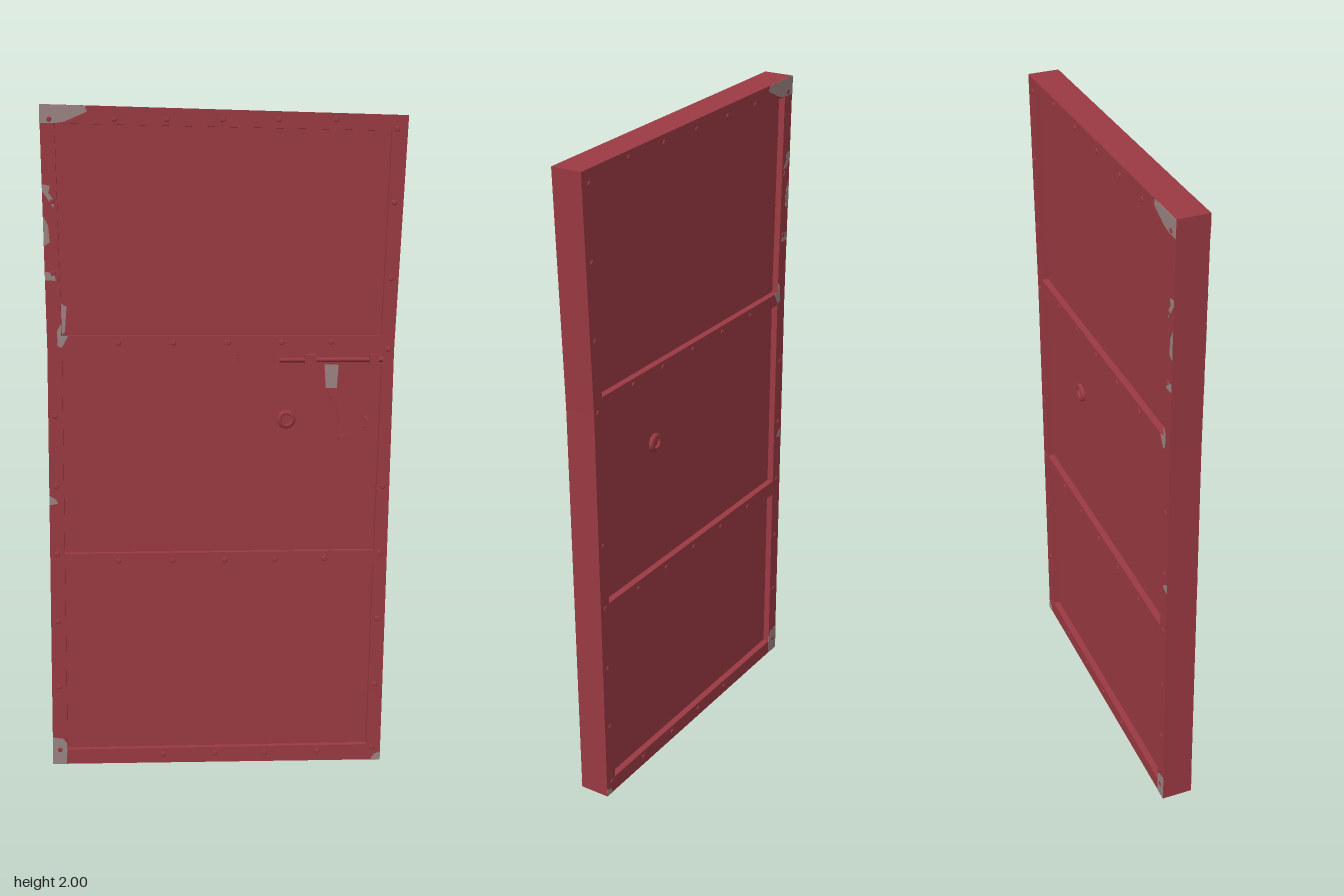
import * as THREE from 'three';

const FRONT = 0.027, BACK = -0.067;

const shapeOf = (pts) => new THREE.Shape(pts.map(([x, y]) => new THREE.Vector2(x, y)));

// Flat polygon with thickness, running from z0 to z1
function slab(pts, z0, z1, holes = []) {
  const shape = shapeOf(pts);
  for (const h of holes) shape.holes.push(shapeOf(h));
  const g = new THREE.ExtrudeGeometry(shape, { depth: z1 - z0, bevelEnabled: false });
  return g.translate(0, 0, z0);
}

export function createModel() {
  const red = new THREE.MeshStandardMaterial({ color: 0x9c3a43 });
  red.name = 'red paint';
  const steel = new THREE.MeshStandardMaterial({ color: 0x9c8583 });
  steel.name = 'bare steel';

  const door = new THREE.Group();
  door.name = 'door';
  const add = (name, geometry, material = red, parent = door) => {
    const m = new THREE.Mesh(geometry, material);
    m.name = name;
    parent.add(m);
    return m;
  };
  const box = (name, x0, x1, y0, y1, z0, z1, parent) =>
    add(name, new THREE.BoxGeometry(x1 - x0, y1 - y0, z1 - z0), red, parent)
      .position.set((x0 + x1) / 2, (y0 + y1) / 2, (z0 + z1) / 2);

  // Crooked frame with three openings
  const outline = [[-0.532, 0.005], [0.479, 0], [0.505, 1.28], [0.539, 1.97], [-0.543, 2], [-0.53, 1.29]];
  const openings = [
    [[-0.487, 0.05], [0.437, 0.05], [0.45, 0.617], [-0.487, 0.617]],
    [[-0.487, 0.665], [0.452, 0.665], [0.47, 1.262], [-0.487, 1.285]],
    [[-0.487, 1.325], [0.467, 1.32], [0.49, 1.925], [-0.5, 1.945]],
  ];
  add('frame', slab(outline, BACK, FRONT, openings));

  // Recessed panels
  for (const o of openings) add('panel', slab(o, BACK + 0.02, FRONT - 0.02));

  // Chipped paint on both faces
  const chips = [
    [[-0.543, 1.945], [-0.5, 1.945], [-0.47, 1.95], [-0.405, 1.978], [-0.41, 1.996], [-0.543, 2]],
    [[-0.538, 1.75], [-0.505, 1.7], [-0.505, 1.725], [-0.52, 1.745], [-0.515, 1.765], [-0.539, 1.77]],
    [[-0.535, 1.59], [-0.518, 1.6], [-0.522, 1.65], [-0.537, 1.68]],
    [[-0.533, 1.49], [-0.502, 1.488], [-0.505, 1.51], [-0.533, 1.515]],
    [[-0.5, 1.295], [-0.487, 1.29], [-0.468, 1.324], [-0.488, 1.326], [-0.489, 1.36], [-0.5, 1.34]],
    [[-0.531, 0.815], [-0.505, 0.82], [-0.51, 0.832], [-0.531, 0.845]],
    [[-0.532, 0.005], [-0.49, 0.005], [-0.487, 0.07], [-0.5, 0.085], [-0.532, 0.09]],
    [[0.45, 0.001], [0.479, 0], [0.48, 0.026], [0.46, 0.018]],
  ];
  for (const c of chips) {
    add('frontPaintChip', slab(c, FRONT, FRONT + 0.001), steel);
    add('backPaintChip', slab(c, BACK - 0.001, BACK), steel);
  }
  // Worn strip on the inner edge of the top panel
  add('wornStrip', slab([[-0.487, 1.326], [-0.478, 1.335], [-0.472, 1.41], [-0.489, 1.42]],
    FRONT - 0.02, FRONT - 0.018), steel);

  // Rivets along the frame, on both faces
  const rivets = [];
  for (const x of [-0.515, -0.325, -0.172, -0.008, 0.156, 0.325]) rivets.push([x, 1.957]);
  for (const x of [-0.32, -0.156, 0.008, 0.167, 0.315]) rivets.push([x, 1.303]);
  for (const x of [-0.325, -0.161, -0.003, 0.151, 0.3]) rivets.push([x, 0.641]);
  for (const x of [-0.193, -0.034, 0.12, 0.283]) rivets.push([x, 0.03]);
  for (const y of [0.05, 0.25, 0.455, 0.665, 0.872, 1.085, 1.51, 1.72]) rivets.push([-0.51, y]);
  [0.04, 0.243, 0.45, 0.656, 0.863, 1.28, 1.492, 1.715, 1.93].forEach((y) =>
    rivets.push([0.453 + 0.027 * y, y]));
  const rivet = new THREE.CylinderGeometry(0.006, 0.009, 0.004, 8).rotateX(Math.PI / 2);
  for (const [x, y] of rivets) {
    add('frontRivet', rivet).position.set(x, y, FRONT + 0.001);
    const back = add('backRivet', rivet);
    back.position.set(x, y, BACK - 0.001);
    back.rotation.y = Math.PI;
  }

  // Peephole, a short ring with a lens on each side
  for (const [z, turn] of [[FRONT - 0.02, 0], [BACK + 0.02, Math.PI]]) {
    const hole = new THREE.Group();
    hole.name = 'peephole';
    const ring = [[0.015, 0], [0.015, 0.008], [0.02, 0.012], [0.028, 0.006], [0.028, 0]]
      .map(([r, h]) => new THREE.Vector2(r, h)).reverse();
    add('peepholeRing', new THREE.LatheGeometry(ring, 16).rotateX(Math.PI / 2), red, hole);
    add('peepholeLens', new THREE.CylinderGeometry(0.016, 0.016, 0.006, 16).rotateX(Math.PI / 2), red, hole);
    hole.position.set(0.183, 1.068, z);
    hole.rotation.y = turn;
    door.add(hole);
  }

  // Sliding bolt with backing plate and guides
  const bolt = new THREE.Group();
  bolt.name = 'bolt';
  door.add(bolt);
  add('boltPlate', slab([[0.04, 1.24], [0.1, 1.232], [0.47, 1.232], [0.47, 1.268], [0.035, 1.272]],
    FRONT - 0.02, FRONT - 0.004), red, bolt);
  add('boltBar', new THREE.CylinderGeometry(0.007, 0.007, 0.31, 10)
    .rotateZ(Math.PI / 2).translate(0.315, 1.25, 0.034), red, bolt);
  for (const [x0, x1] of [[0.235, 0.27], [0.43, 0.458]]) {
    box('boltGuide', x0, x1, 1.236, 1.266, FRONT - 0.006, 0.044, bolt);
  }
  box('boltRail', 0.165, 0.24, 1.24, 1.26, FRONT - 0.006, 0.031, bolt);

  // Hasp: bare hinge leaf and a bent slotted arm
  const hasp = new THREE.Group();
  hasp.name = 'hasp';
  door.add(hasp);
  add('haspHinge', slab([[0.3, 1.165], [0.333, 1.165], [0.338, 1.235], [0.296, 1.235]], 0.024, 0.032), steel, hasp);
  add('haspArm', slab(
    [[0.3, 1.165], [0.34, 1.09], [0.337, 1.02], [0.345, 1.0], [0.363, 0.995], [0.376, 1.01],
      [0.376, 1.095], [0.34, 1.15], [0.333, 1.165]],
    0.024, 0.032, [[[0.35, 1.022], [0.364, 1.022], [0.364, 1.06], [0.35, 1.06]]]), red, hasp);

  // Staple for the padlock
  const staple = new THREE.Group();
  staple.name = 'staple';
  door.add(staple);
  box('stapleBase', 0.412, 0.428, 1.03, 1.085, FRONT - 0.02, FRONT - 0.015, staple);
  for (const y of [1.042, 1.068]) box('stapleLeg', 0.416, 0.424, y, y + 0.007, FRONT - 0.016, 0.066, staple);
  box('stapleBar', 0.416, 0.424, 1.042, 1.075, 0.059, 0.067, staple);

  return door;
}
